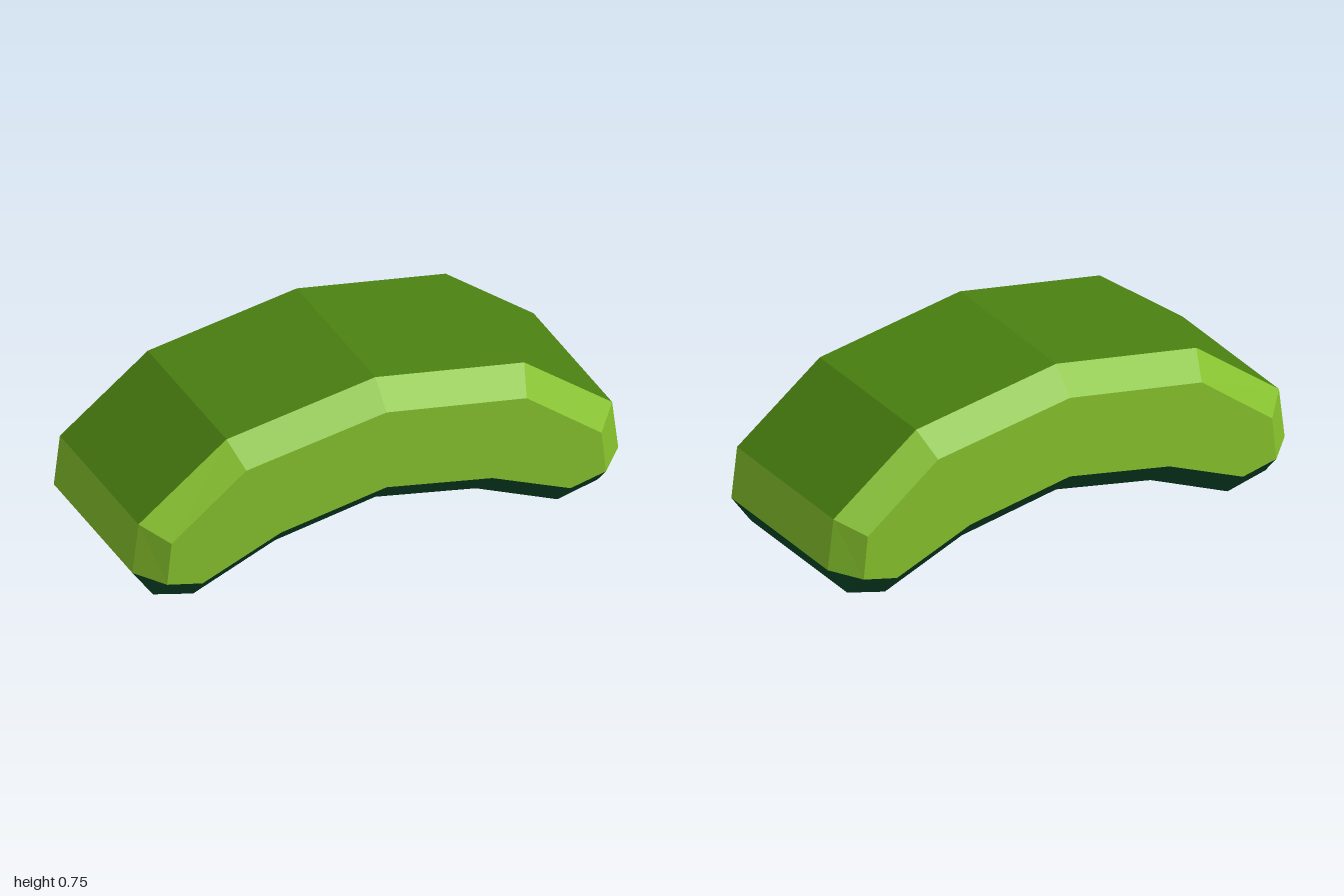
import * as THREE from 'three';

// Right half of the arch outline, from top centre round the tip to bottom centre
const OUTER = [[0, 0.75], [0.613, 0.645], [0.975, 0.37], [1, 0.163], [0.915, 0.045], [0.75, 0.003], [0.413, 0.145], [0, 0.222]];
// Matching inset outline of the flat sides (the tip corner shares one point)
const INNER = [[0, 0.65], [0.577, 0.553], [0.885, 0.315], [0.903, 0.14], [0.903, 0.14], [0.757, 0.106], [0.435, 0.24], [0, 0.32]];
const Z_OUTER = 0.338, Z_INNER = 0.435;

const material = (name, color) => {
  const m = new THREE.MeshStandardMaterial({ color });
  m.name = name;
  return m;
};

// Collects flat quads or triangles, mirrored in x and z, with outward winding
class Faces {
  positions = [];
  add(points, sx, sz) {
    const p = points.map(([x, y, z]) => [x * sx, y, z * sz]);
    if (sx * sz < 0) p.reverse();
    for (let i = 1; i < p.length - 1; i++) this.positions.push(...p[0], ...p[i], ...p[i + 1]);
  }
  mesh(name, mat) {
    const g = new THREE.BufferGeometry();
    g.setAttribute('position', new THREE.Float32BufferAttribute(this.positions, 3));
    g.computeVertexNormals();
    const m = new THREE.Mesh(g, mat);
    m.name = name;
    return m;
  }
}

export function createModel() {
  const group = new THREE.Group();
  group.name = 'archedBlock';
  const light = material('light green', 0x86c22c);
  const top = material('leaf green', 0x4a8010);
  const dark = material('deep green', 0x0b4a2a);

  const topFaces = new Faces(), endFaces = new Faces(), underFaces = new Faces();
  const upperBevel = new Faces(), lowerBevel = new Faces();

  for (let i = 0; i < OUTER.length - 1; i++) {
    const a = OUTER[i], b = OUTER[i + 1], c = INNER[i], d = INNER[i + 1];
    const band = i < 2 ? topFaces : i === 2 ? endFaces : underFaces;
    const bevel = i < 3 ? upperBevel : lowerBevel;
    for (const sx of [1, -1]) {
      // Band across the full depth
      band.add([[...a, Z_OUTER], [...b, Z_OUTER], [...b, -Z_OUTER], [...a, -Z_OUTER]], sx, 1);
      // Bevels to the front and back sides
      for (const sz of [1, -1]) {
        const inner = c[0] === d[0] && c[1] === d[1] ? [[...c, Z_INNER]] : [[...c, Z_INNER], [...d, Z_INNER]];
        bevel.add([...inner, [...b, Z_OUTER], [...a, Z_OUTER]], sx, sz);
      }
    }
  }

  group.add(
    topFaces.mesh('topSurface', top),
    endFaces.mesh('endFaces', light),
    underFaces.mesh('underside', dark),
    upperBevel.mesh('upperBevel', light),
    lowerBevel.mesh('lowerBevel', dark)
  );

  // Flat arched front and back sides
  const half = INNER.filter((_, i) => i !== 4);
  const left = half.slice(1, -1).reverse().map(([x, y]) => [-x, y]);
  const shape = new THREE.Shape([...half, ...left].map(([x, y]) => new THREE.Vector2(x, y)));
  const sideGeometry = new THREE.ShapeGeometry(shape);
  ['frontSide', 'backSide'].forEach((name, i) => {
    const side = new THREE.Mesh(sideGeometry, light);
    side.name = name;
    side.position.z = i ? -Z_INNER : Z_INNER;
    side.rotation.y = i * Math.PI;
    group.add(side);
  });
  return group;
}
